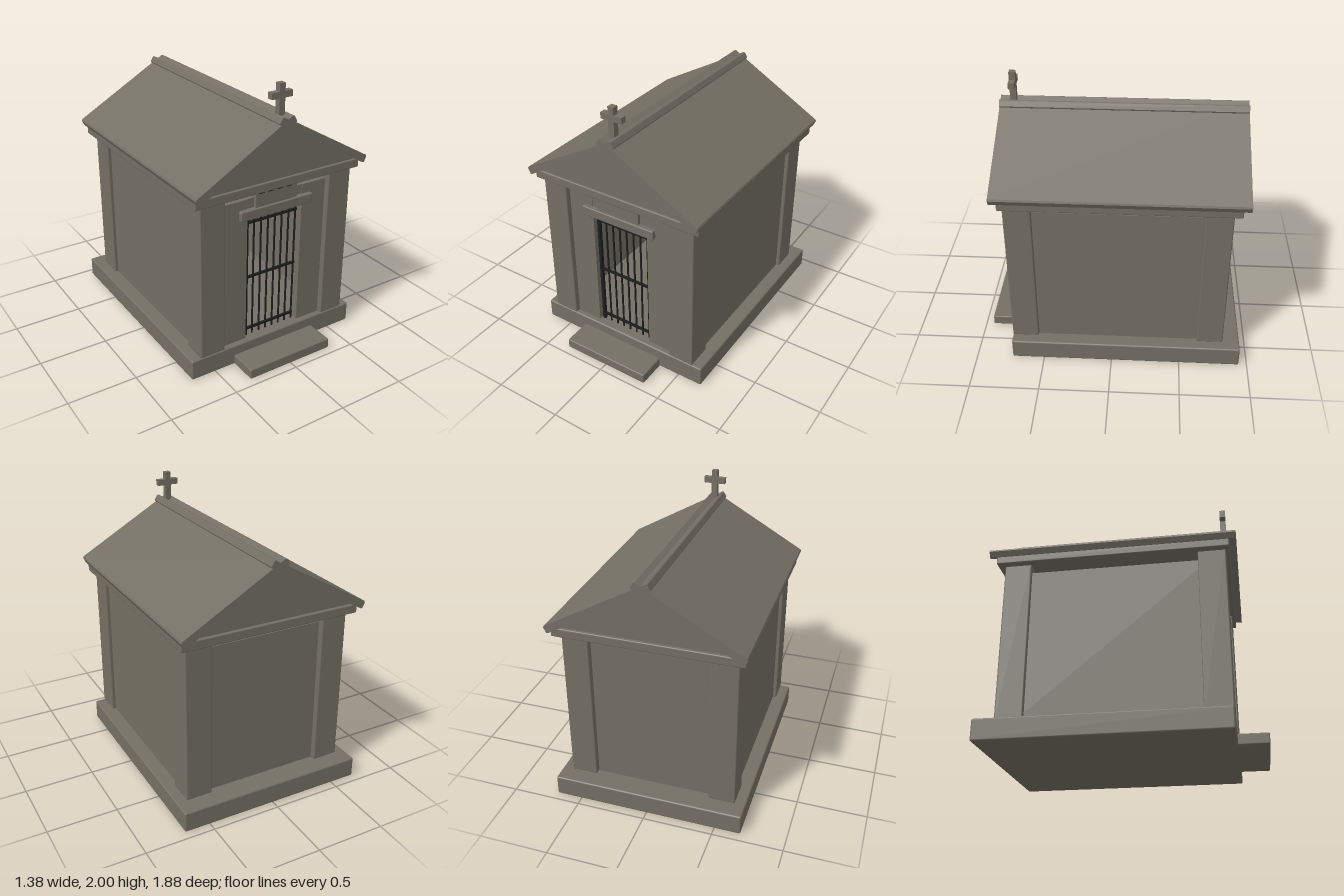
import * as THREE from 'three';
import { RoundedBoxGeometry } from 'three/addons/geometries/RoundedBoxGeometry.js';

export function createModel() {
  const model = new THREE.Group();
  model.name = 'mausoleum';

  const stone = new THREE.MeshStandardMaterial({ color: 0x746f64 });
  stone.name = 'stone';
  const iron = new THREE.MeshStandardMaterial({ color: 0x1c1d1f });
  iron.name = 'iron';

  const add = (name, geometry, material = stone, parent = model) => {
    const mesh = new THREE.Mesh(geometry, material);
    mesh.name = name;
    parent.add(mesh);
    return mesh;
  };

  // Box given by its extents; a bevel above zero softens its edges
  const block = (name, [x0, x1], [y0, y1], [z0, z1], bevel = 0, material = stone, parent = model) => {
    const size = [x1 - x0, y1 - y0, z1 - z0];
    const geometry = bevel
      ? new RoundedBoxGeometry(...size, 2, bevel)
      : new THREE.BoxGeometry(...size);
    const mesh = add(name, geometry, material, parent);
    mesh.position.set((x0 + x1) / 2, (y0 + y1) / 2, (z0 + z1) / 2);
    return mesh;
  };

  // Flat outline in x and y, extruded from z0 to z1
  const prism = (name, points, z0, z1) => {
    const shape = new THREE.Shape(points.map(([x, y]) => new THREE.Vector2(x, y)));
    const geometry = new THREE.ExtrudeGeometry(shape, { depth: z1 - z0, bevelEnabled: false });
    geometry.translate(0, 0, z0);
    return add(name, geometry);
  };

  // Plinth and entrance step
  block('plinth', [-0.688, 0.688], [0, 0.15], [-0.94, 0.735], 0.012);
  block('entranceStep', [-0.343, 0.34], [0, 0.075], [0.7, 0.94], 0.008);

  // Hollow chamber, lower than the columns so a gap stays under the roof
  const wallY = [0.14, 1.24];
  block('backWall', [-0.585, 0.585], wallY, [-0.775, -0.7]);
  for (const side of [-1, 1]) {
    const span = (a, b) => (side > 0 ? [a, b] : [-b, -a]);
    block('sideWall', span(0.51, 0.585), wallY, [-0.7, 0.62]);
    block('frontWall', span(0.225, 0.585), wallY, [0.62, 0.695]);
    // Corner columns
    block('frontColumn', span(0.422, 0.613), [0.15, 1.295], [0.542, 0.735], 0.01);
    block('backColumn', span(0.422, 0.613), [0.15, 1.295], [-0.817, -0.625], 0.01);
  }

  // Door head, lintel and name plate
  block('doorHead', [-0.225, 0.225], [1.1, 1.24], [0.62, 0.69]);
  block('lintel', [-0.293, 0.293], [1.1, 1.17], [0.66, 0.727], 0.008);
  block('plaque', [-0.172, 0.168], [1.165, 1.298], [0.66, 0.712], 0.004);
  for (let i = 0; i < 4; i++) {
    const x = -0.147 + i * 0.075;
    block('plaqueSlot', [x, x + 0.044], [1.265, 1.279], [0.71, 0.714], 0, iron);
  }

  // Barred gate
  const gate = new THREE.Group();
  gate.name = 'gate';
  model.add(gate);
  block('hingePost', [-0.217, -0.195], [0.15, 1.09], [0.647, 0.669], 0, iron, gate);
  for (let i = 0; i < 7; i++) {
    const bar = add('gateBar', new THREE.CylinderGeometry(0.007, 0.007, 0.94, 8), iron, gate);
    bar.position.set(-0.145 + i * 0.0577, 0.62, 0.658);
  }
  for (const y of [0.2, 0.623, 1.045]) {
    block('gateRail', [-0.215, 0.21], [y - 0.008, y + 0.008], [0.65, 0.666], 0, iron, gate);
  }

  // Entablature and gable
  block('entablature', [-0.662, 0.662], [1.293, 1.358], [-0.867, 0.76], 0.008);
  prism('gable', [[-0.64, 1.35], [0.64, 1.35], [0, 1.725]], -0.845, 0.745);

  // Roof slabs cross at the top to form the notched ridge
  for (const side of [1, -1]) {
    const outline = [
      [0.665, 1.345], [0.684, 1.382], [0.678, 1.396],
      [-0.036, 1.802], [-0.046, 1.798], [-0.066, 1.763], [-0.062, 1.753], [0.653, 1.345],
    ];
    prism('roofSlab', outline.map(([x, y]) => [x * side, y]), -0.917, 0.808);
  }

  // Cross above the entrance
  block('crossUpright', [-0.022, 0.022], [1.76, 2], [0.69, 0.734]);
  block('crossArms', [-0.081, 0.081], [1.901, 1.945], [0.691, 0.733]);

  return model;
}
